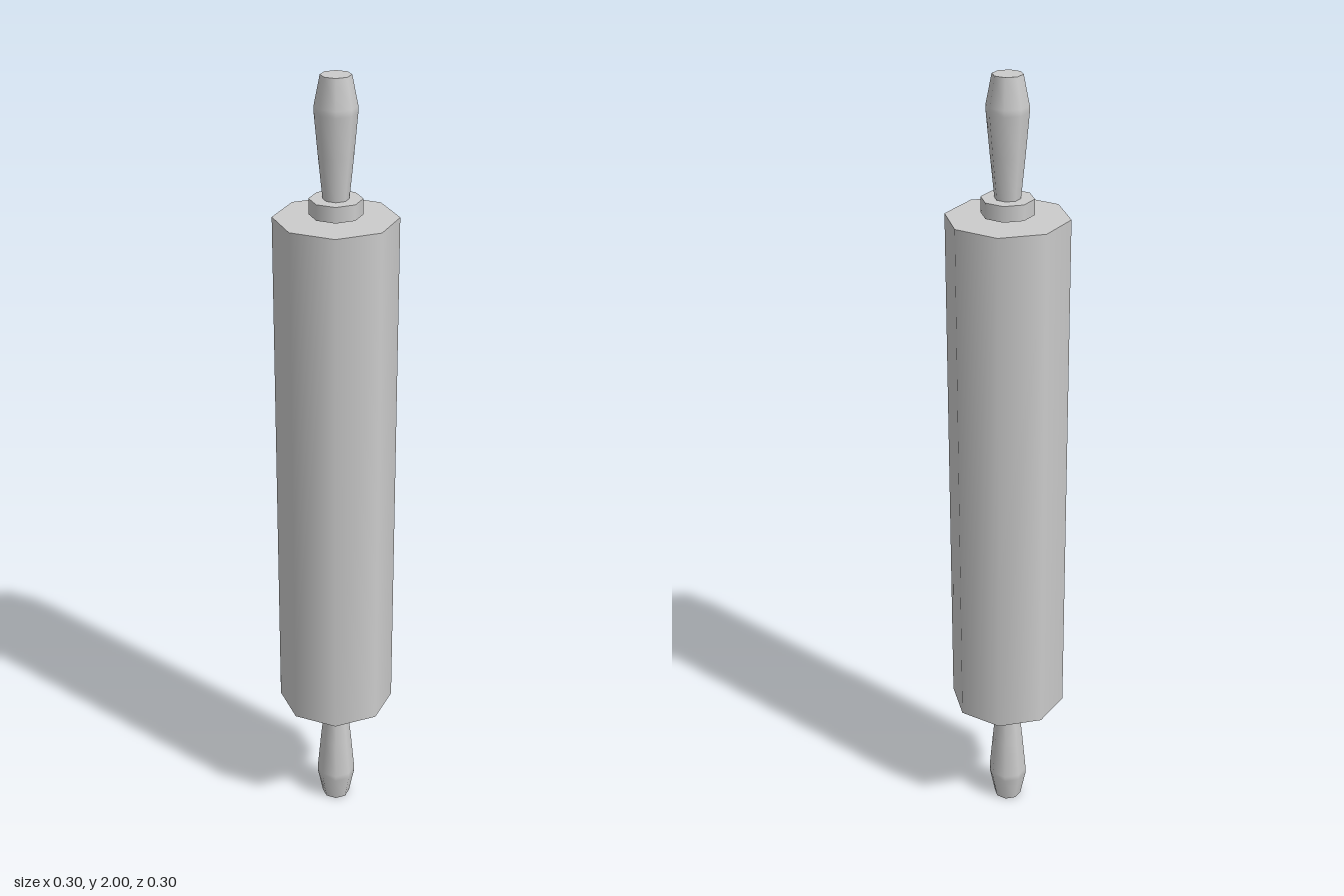
import * as THREE from 'three';

const SIDES = 8;

export function createModel() {
  const model = new THREE.Group();
  model.name = 'rollingPin';
  const material = new THREE.MeshStandardMaterial({ color: 0xcccccc });

  const add = (parent, name, geometry, y) => {
    const mesh = new THREE.Mesh(geometry, material);
    mesh.name = name;
    mesh.position.y = y;
    parent.add(mesh);
    return mesh;
  };

  // Main roller, corners on the axes
  add(model, 'roller', new THREE.CylinderGeometry(0.148, 0.148, 1.34, SIDES), 1);

  // Swelling grip, measured from the collar outwards
  const gripProfile = [[0.031, 0], [0.041, 0.1], [0.05, 0.2], [0.05, 0.215], [0.036, 0.285]]
    .map(([r, y]) => new THREE.Vector2(r, y));

  // One end assembly, turned over for the other end
  for (const [name, turn] of [['topEnd', 0], ['bottomEnd', Math.PI]]) {
    const end = new THREE.Group();
    end.name = name;
    end.position.y = 1;
    end.rotation.x = turn;
    add(end, 'axle', new THREE.CylinderGeometry(0.04, 0.04, 0.04, SIDES), 0.68);
    add(end, 'collar', new THREE.CylinderGeometry(0.063, 0.063, 0.038, SIDES), 0.696);
    add(end, 'handle', new THREE.LatheGeometry(gripProfile, SIDES), 0.715);
    const cap = add(end, 'handleCap', new THREE.CircleGeometry(0.036, SIDES), 1);
    cap.rotation.x = -Math.PI / 2;
    model.add(end);
  }

  return model;
}
